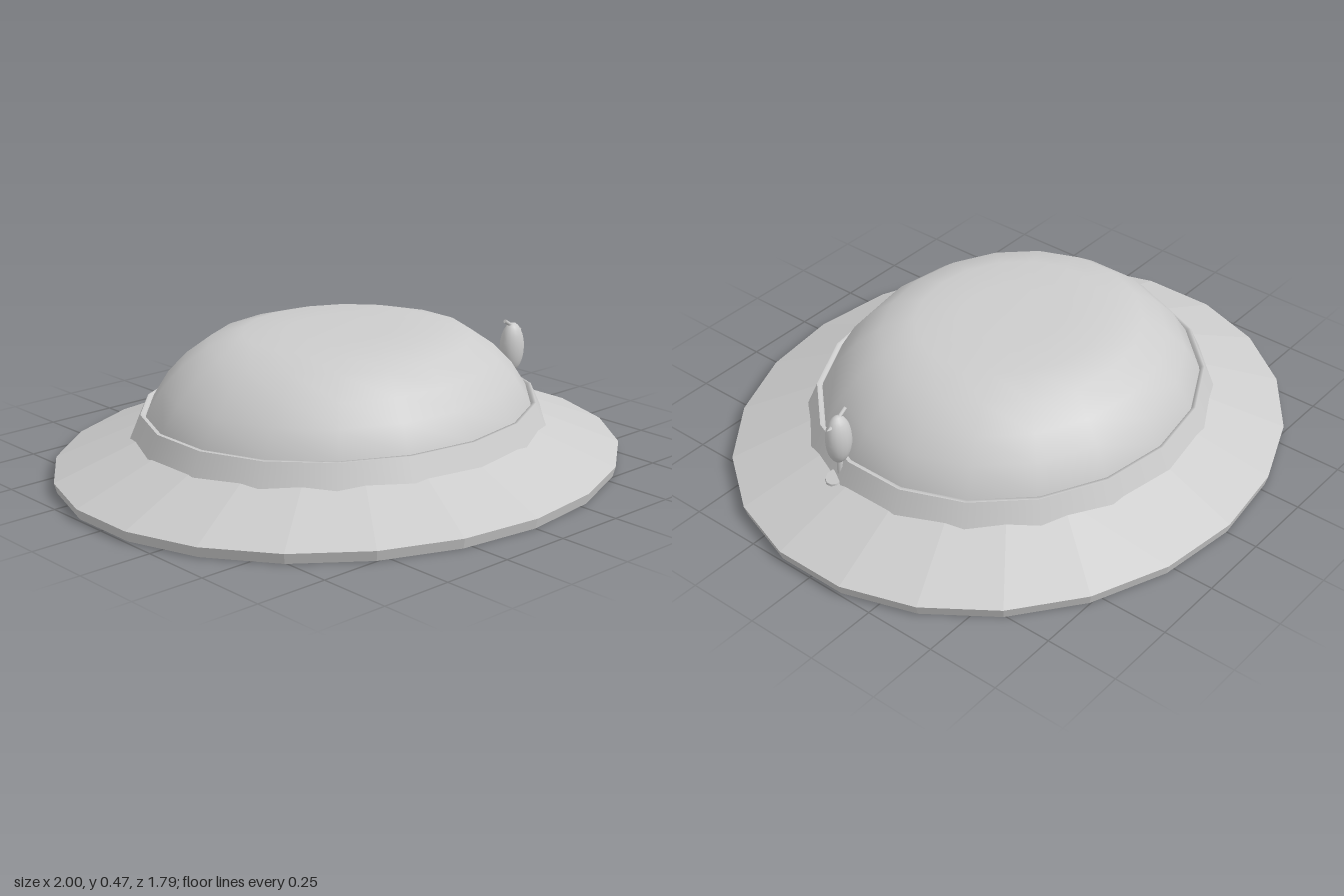
import * as THREE from 'three';

const DEPTH = 0.888; // the hat is oval: z radius over x radius

export function createModel() {
  const group = new THREE.Group();
  const grey = new THREE.MeshStandardMaterial({ color: 0xcccccc });
  grey.name = 'plain grey';

  const add = (name, geometry, parent = group) => {
    const mesh = new THREE.Mesh(geometry, grey);
    mesh.name = name;
    parent.add(mesh);
    return mesh;
  };
  const lathe = (profile, sides) => new THREE.LatheGeometry(
    profile.map(([r, y]) => new THREE.Vector2(r, y)), sides).scale(1, 1, DEPTH);
  const faceted = (geometry) => {
    const flat = geometry.toNonIndexed();
    flat.computeVertexNormals();
    return flat;
  };

  // Sloping brim with a thin edge, open in the middle
  add('brim', faceted(lathe([
    [0.67, 0.13], [1.0, 0], [1.01, 0.035], [0.67, 0.167], [0.67, 0.13],
  ], 22)));

  // Crown: outer dome and inner lining
  add('crown', lathe([
    [0.695, 0.14], [0.683, 0.215], [0.627, 0.30], [0.56, 0.367],
    [0.468, 0.43], [0.345, 0.462], [0.17, 0.465], [0, 0.465],
  ], 18));
  add('crownLining', lathe([
    [0, 0.435], [0.17, 0.435], [0.33, 0.432], [0.445, 0.403],
    [0.535, 0.343], [0.602, 0.28], [0.655, 0.2], [0.672, 0.13],
  ], 18));

  // Hat band: sloping side and narrow top rim
  add('bandSide', lathe([[0.742, 0.135], [0.704, 0.215]], 18));
  add('bandRim', lathe([[0.704, 0.215], [0.692, 0.216], [0.688, 0.2], [0.682, 0.2]], 18));

  // Small bird-like ornament standing on the band
  const ornament = new THREE.Group();
  ornament.name = 'ornament';
  ornament.position.set(0.696, 0, 0.142);
  group.add(ornament);

  const body = add('ornamentBody', new THREE.SphereGeometry(1, 16, 12), ornament);
  body.scale.set(0.048, 0.09, 0.039);
  body.position.y = 0.294;

  const stem = add('ornamentStem', new THREE.CylinderGeometry(0.01, 0.01, 0.08, 8), ornament);
  stem.position.set(0.002, 0.175, 0);

  const foot = add('ornamentFoot', new THREE.CylinderGeometry(0.03, 0.034, 0.008, 10), ornament);
  foot.position.set(0.02, 0.143, 0.01);
  foot.rotation.z = -0.37;

  const crest = add('ornamentCrest', new THREE.CylinderGeometry(0.007, 0.007, 0.05, 8), ornament);
  crest.position.set(-0.018, 0.382, 0);
  crest.rotation.z = 1.0;

  const beak = add('ornamentBeak', new THREE.ConeGeometry(0.014, 0.03, 8), ornament);
  beak.position.set(0.035, 0.353, 0);
  beak.rotation.z = -Math.PI / 2;

  return group;
}
